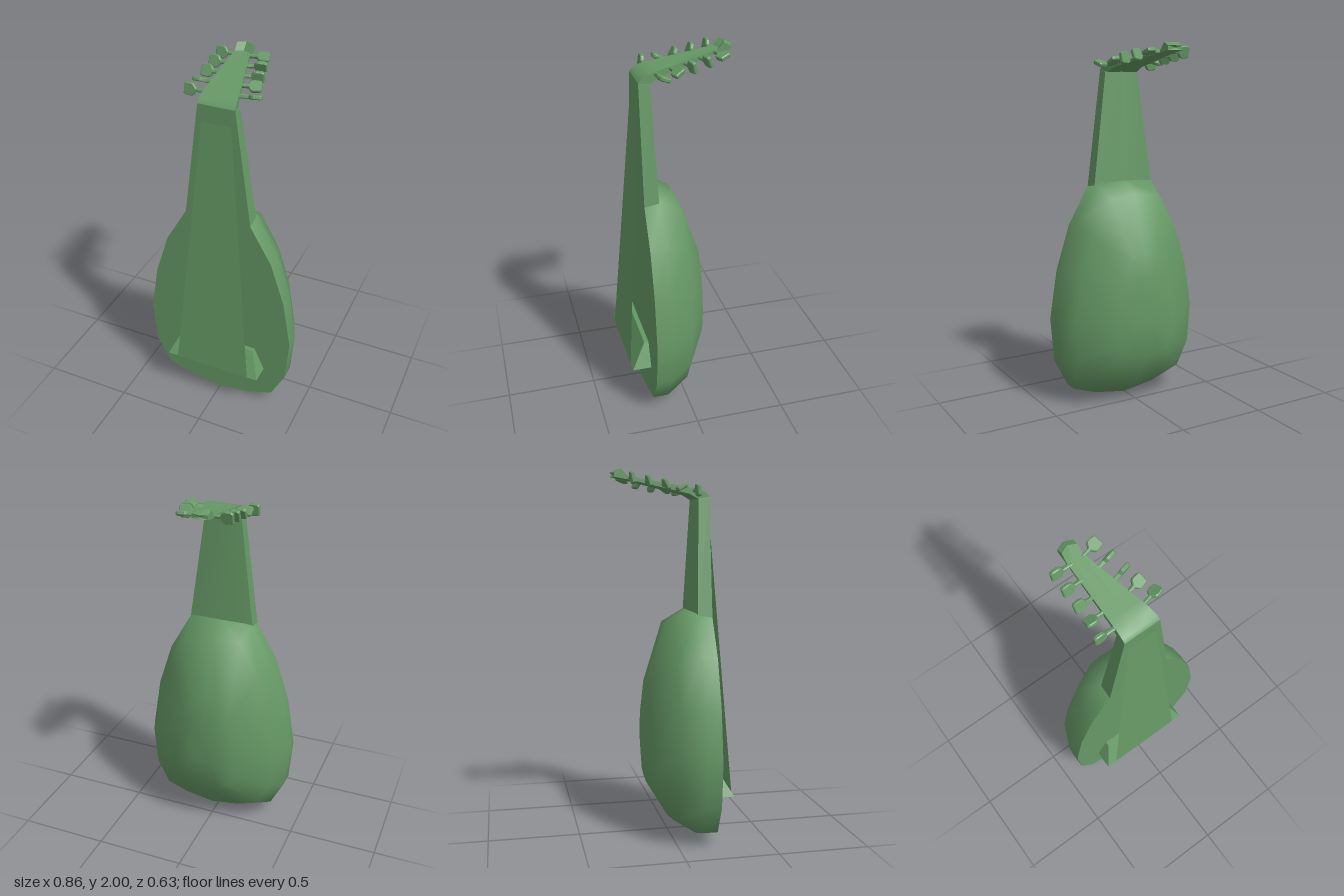
import * as THREE from 'three';
import { toCreasedNormals } from 'three/addons/utils/BufferGeometryUtils.js';

const material = new THREE.MeshStandardMaterial({ color: 0x669966, side: THREE.DoubleSide });

// Skin a stack of equal-length rings of [x, y, z] and close both ends.
function loft(rings, crease) {
  const n = rings[0].length;
  const points = rings.flat();
  const index = [];
  for (let r = 0; r < rings.length - 1; r++) {
    for (let i = 0; i < n; i++) {
      const a = r * n + i, b = r * n + (i + 1) % n;
      index.push(a, b, b + n, a, b + n, a + n);
    }
  }
  [0, rings.length - 1].forEach((r) => {
    const centre = [0, 1, 2].map((k) => rings[r].reduce((s, p) => s + p[k], 0) / n);
    const c = points.push(centre) - 1;
    for (let i = 0; i < n; i++) {
      const a = r * n + i, b = r * n + (i + 1) % n;
      if (r === 0) index.push(c, b, a);
      else index.push(c, a, b);
    }
  });
  // Turn the skin right side out, using its signed volume
  const v = points.map((p) => new THREE.Vector3(...p));
  let volume = 0;
  for (let i = 0; i < index.length; i += 3) {
    volume += v[index[i]].dot(v[index[i + 1]].clone().cross(v[index[i + 2]]));
  }
  if (volume < 0) index.reverse();
  const geometry = new THREE.BufferGeometry().setFromPoints(v);
  geometry.setIndex(index);
  return toCreasedNormals(geometry, crease);
}

export function createModel() {
  const model = new THREE.Group();
  model.name = 'lute';
  const add = (name, geometry, parent = model) => {
    const mesh = new THREE.Mesh(geometry, material);
    mesh.name = name;
    parent.add(mesh);
    return mesh;
  };

  // Body: the soundboard outline shrinking towards the rounded back
  const half = [[0.19, 0.03], [0.33, 0.08], [0.41, 0.24], [0.43, 0.49],
    [0.385, 0.77], [0.305, 1.02], [0.18, 1.24]];
  const outline = [[0, 0], ...half, [0, 1.26],
    ...half.slice().reverse().map(([x, y]) => [-x, y])];
  const shells = [ // z, width scale, bottom y, top y
    [0.21, 1, 0, 1.25], [0.125, 1, 0, 1.26], [0, 0.87, 0.08, 1.19],
    [-0.12, 0.42, 0.28, 0.86], [-0.14, 0.22, 0.46, 0.74]];
  add('body', loft(shells.map(([z, s, y0, y1]) =>
    outline.map(([x, y]) => [x * s, y0 + (y / 1.26) * (y1 - y0), z])), 1.1));

  // Neck: tapering box with a very slightly ridged back
  const neckRing = (y, yBack, w, zSide, zBack) => [
    [w, y, 0.21], [w, yBack, zSide], [0, yBack, zBack], [-w, yBack, zSide], [-w, y, 0.21]];
  add('neck', loft([
    neckRing(1.22, 1.22, 0.185, 0.13, 0.108),
    neckRing(1.86, 1.85, 0.1, 0.15, 0.145)], 0.5));

  // Pegbox: bent back, narrowing on one side, with a raised pointed tip
  const rows = [ // z, right edge x, top y, bottom y, forward point of the middle
    [0.21, 0.1, 1.862, 1.855, 0], [0.195, 0.098, 1.88, 1.85, 0],
    [0.15, 0.088, 1.9, 1.848, 0], [0.1, 0.075, 1.908, 1.875, 0],
    [-0.23, -0.015, 1.962, 1.945, 0.02], [-0.262, -0.015, 1.998, 1.95, 0.02],
    [-0.3, -0.015, 1.98, 1.957, 0.017]];
  add('pegbox', loft(rows.map(([z, xr, top, bottom, tip]) => {
    const xm = (xr - 0.1) / 2;
    return [[-0.1, top, z], [xm, top, z - tip], [xr, top, z],
      [xr, bottom, z], [xm, bottom, z - tip], [-0.1, bottom, z]];
  }), 0.6));

  // Bridge: wedge flaring towards the bottom
  const bridgeRing = (y, w, z) => [[-w, y, 0.2], [w, y, 0.2], [w, y, z], [-w, y, z]];
  add('bridge', loft([bridgeRing(0.255, 0.28, 0.315), bridgeRing(0.39, 0.22, 0.235)], 0.3));

  // Strings: one thin sheet from the bridge to the neck
  const sheet = new THREE.PlaneGeometry(2, 1);
  const p = sheet.attributes.position;
  for (let i = 0; i < p.count; i++) {
    const up = p.getY(i) > 0;
    p.setXYZ(i, p.getX(i) * (up ? 0.08 : 0.22), up ? 1.77 : 0.255, up ? 0.212 : 0.316);
  }
  sheet.computeVertexNormals();
  add('strings', sheet);

  // Tuning pegs: thin shaft flaring into a flat paddle
  const pegHalf = [[-0.015, 0.009], [0.034, 0.009], [0.046, 0.028],
    [0.058, 0.033], [0.09, 0.031], [0.1, 0.024]];
  const pegShape = new THREE.Shape([...pegHalf,
    ...pegHalf.slice().reverse().map(([x, y]) => [x, -y])].map((q) => new THREE.Vector2(...q)));
  const pegGeometry = new THREE.ExtrudeGeometry(pegShape, {
    depth: 0.012, bevelEnabled: true, bevelSegments: 1,
    bevelThickness: 0.005, bevelSize: 0.004, bevelOffset: -0.004 });
  pegGeometry.translate(0, 0, -0.006);

  const pegs = new THREE.Group();
  pegs.name = 'tuningPegs';
  model.add(pegs);
  const addPeg = (name, x, z, turn, roll) => {
    const peg = add(name, pegGeometry, pegs);
    peg.position.set(x, 1.89 + (0.13 - z) * 0.175, z);
    peg.rotation.set(roll, turn, 0, 'YXZ');
  };
  [[-0.215, 0.2], [-0.128, 0.35], [-0.038, 0.5], [0.045, -1.1], [0.13, 0.12]]
    .forEach(([z, roll]) => addPeg('rightPeg', z > 0.1 ? -0.108 : -0.096, z, Math.PI, roll));
  [[-0.218, -1.2], [-0.134, 0.4], [-0.048, 0.2], [0.032, -1], [0.112, 1.2]]
    .forEach(([z, roll]) => addPeg('leftPeg', 0.046 + z * 0.255 + (z > 0.1 ? 0.015 : 0), z, 0.26, roll));

  return model;
}
